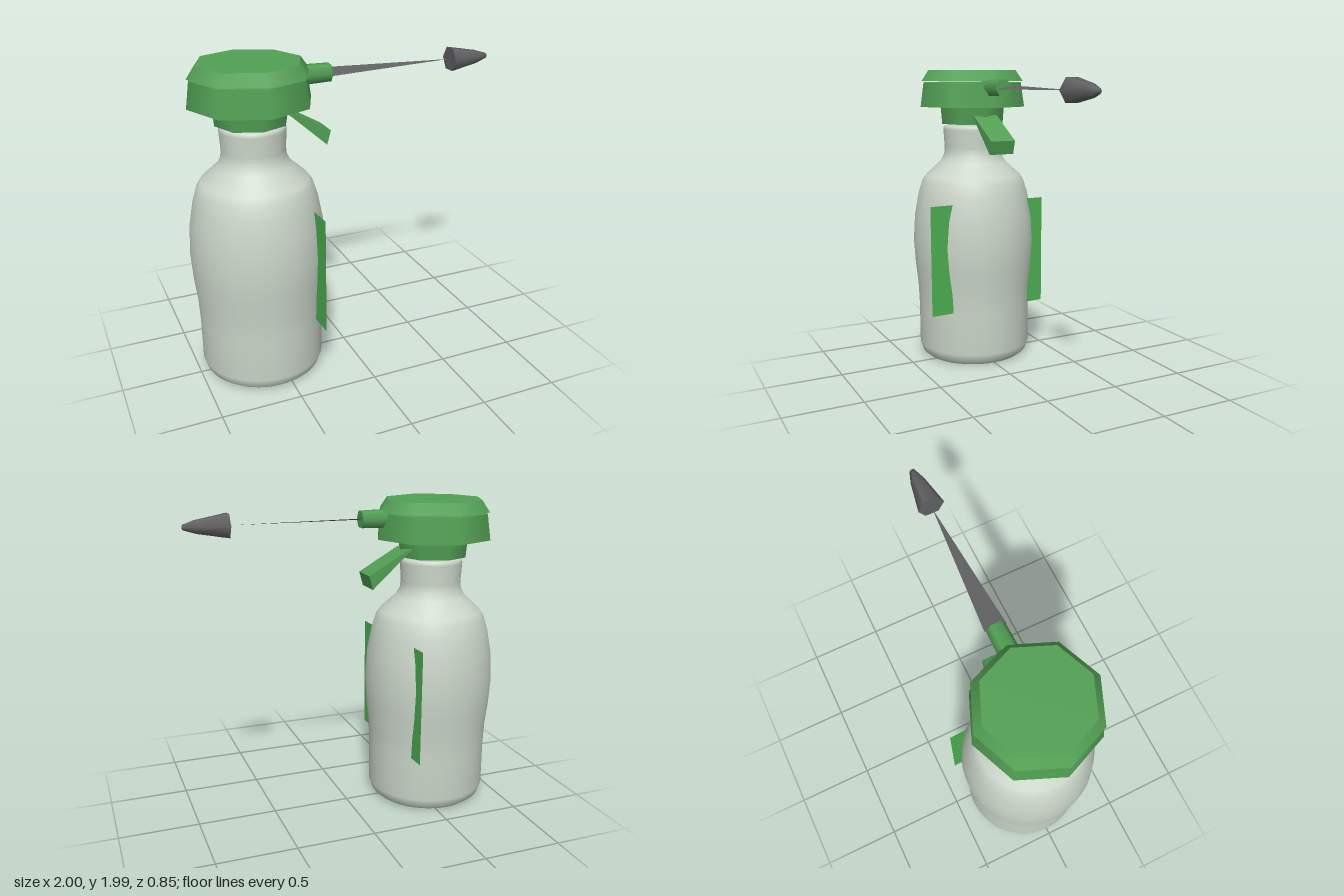
import * as THREE from 'three';

const CX = -0.58, CZ = -0.005; // bottle axis

export function createModel() {
  const model = new THREE.Group();
  const mat = (name, color, side = THREE.FrontSide) => {
    const m = new THREE.MeshStandardMaterial({ color, side });
    m.name = name;
    return m;
  };
  const bottleMat = mat('pale bottle plastic', 0xcad5c8);
  const headMat = mat('green head plastic', 0x52a054);
  const labelMat = mat('bright green label', 0x4caf50, THREE.DoubleSide);
  const greyMat = mat('dark grey', 0x626264, THREE.DoubleSide);

  const add = (name, geometry, material, x = 0, y = 0, z = 0) => {
    const mesh = new THREE.Mesh(geometry, material);
    mesh.name = name;
    mesh.position.set(x, y, z);
    model.add(mesh);
    return mesh;
  };

  // Bottle: smooth waisted body, shoulder and neck
  const body = [
    [0.34, 0], [0.37, 0.025], [0.388, 0.08], [0.388, 0.35], [0.394, 0.5], [0.41, 0.65],
    [0.42, 0.82], [0.408, 1.0], [0.38, 1.15], [0.352, 1.24], [0.325, 1.28],
    [0.225, 1.37], [0.198, 1.42], [0.193, 1.47], [0.2, 1.59], [0.196, 1.612], [0.18, 1.618],
  ].map(([r, y]) => new THREE.Vector2(r, y));
  add('bottle', new THREE.LatheGeometry(body, 48), bottleMat, CX, 0, CZ);
  add('bottleBase', new THREE.CircleGeometry(0.34, 48).rotateX(Math.PI / 2), bottleMat, CX, 0, CZ);
  add('bottleMouth', new THREE.CircleGeometry(0.18, 48).rotateX(-Math.PI / 2), bottleMat, CX, 1.618, CZ);

  // Spray head: three stacked eight-sided tiers
  const tier = (name, rTop, rBottom, y0, y1) =>
    add(name, new THREE.CylinderGeometry(rTop, rBottom, y1 - y0, 8), headMat, CX - 0.005, (y0 + y1) / 2, CZ);
  tier('collar', 0.232, 0.222, 1.63, 1.75);
  tier('headSkirt', 0.352, 0.376, 1.747, 1.908);
  tier('headTop', 0.315, 0.365, 1.918, 1.99);

  // Nozzle stub
  add('nozzle', new THREE.CylinderGeometry(0.058, 0.064, 0.24, 6).rotateZ(-Math.PI / 2),
    headMat, -0.21, 1.878, 0);

  // Trigger: wedge that thickens towards its tip
  const wedge = new THREE.Shape([
    [-0.42, 1.69], [-0.42, 1.7], [-0.37, 1.685], [-0.115, 1.54], [-0.14, 1.452], [-0.37, 1.66],
  ].reverse().map(([x, y]) => new THREE.Vector2(x, y)));
  add('trigger', new THREE.ExtrudeGeometry(wedge, { depth: 0.17, bevelEnabled: false }),
    headMat, 0, 0, -0.095);

  // Thin tapering jet
  const jet = new THREE.BufferGeometry();
  jet.setAttribute('position', new THREE.Float32BufferAttribute(
    [-0.095, 1.892, -0.068, -0.095, 1.868, 0.065, 0.72, 1.88, 0], 3));
  jet.computeVertexNormals();
  add('jet', jet, greyMat);

  // Pointed tip
  const tip = [[0, 0], [0.08, 0], [0.08, 0], [0.043, 0.19], [0.017, 0.265], [0, 0.27]]
    .map(([r, y]) => new THREE.Vector2(r, y));
  add('tip', new THREE.LatheGeometry(tip, 6).rotateZ(-Math.PI / 2), greyMat, 0.73, 1.88, 0);

  // Flat label sheet passing through the bottle, showing at both sides
  const label = add('label', new THREE.PlaneGeometry(0.85, 0.742).rotateY(Math.PI / 2),
    labelMat, -0.318, 0.745, 0.003);
  label.rotation.y = 0.045;

  return model;
}
